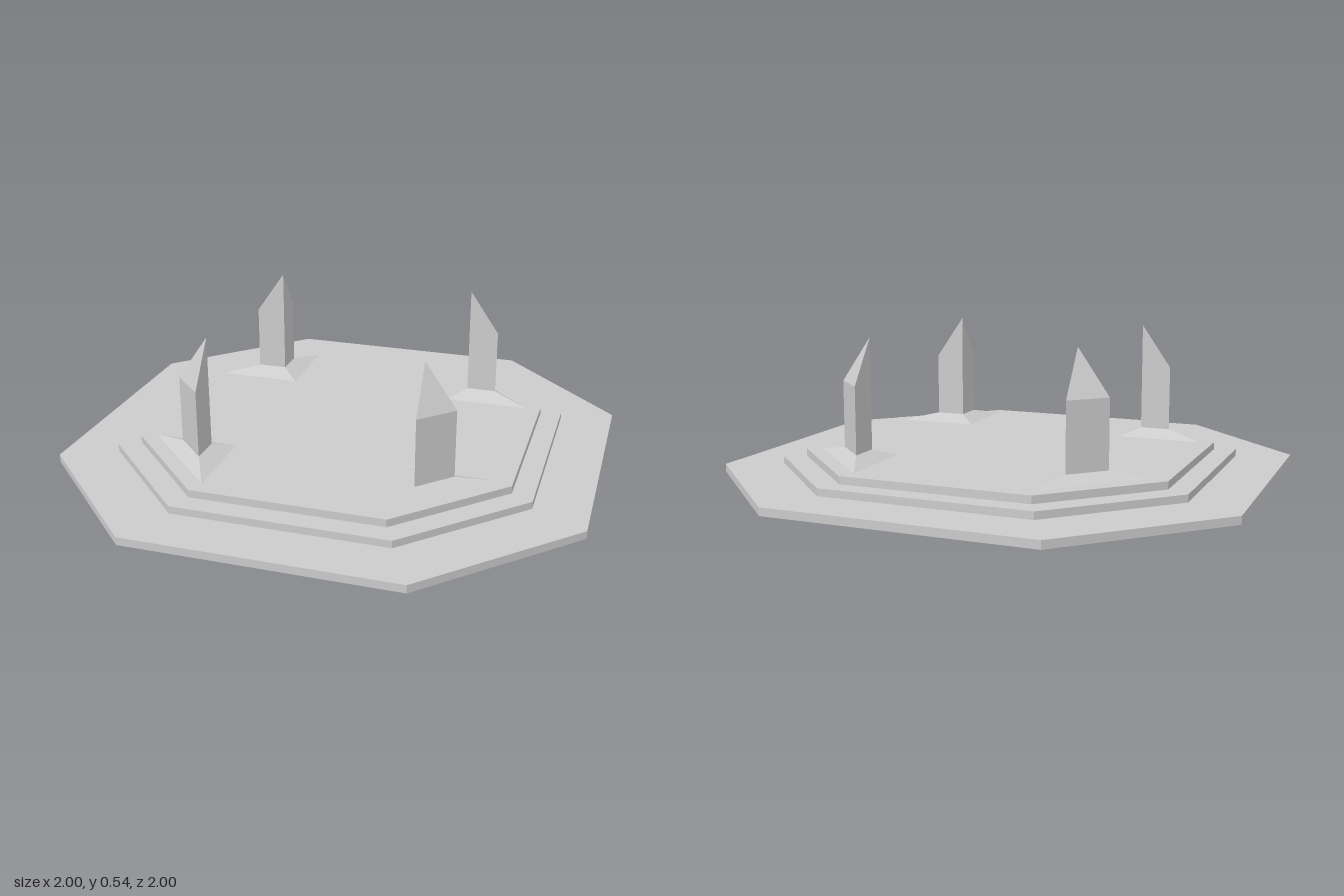
import * as THREE from 'three';

const material = new THREE.MeshStandardMaterial({ color: 0xcccccc, flatShading: true });

// Octagonal slab with cut corners, lying flat between two heights
function slab(name, r, y0, y1) {
  const h = r / 2;
  const corners = [[r, -h], [r, h], [h, r], [-h, r], [-r, h], [-r, -h], [-h, -r], [h, -r]];
  const shape = new THREE.Shape(corners.map(([x, y]) => new THREE.Vector2(x, y)));
  const geo = new THREE.ExtrudeGeometry(shape, { depth: y1 - y0, bevelEnabled: false });
  geo.rotateX(-Math.PI / 2).translate(0, y0, 0);
  const mesh = new THREE.Mesh(geo, material);
  mesh.name = name;
  return mesh;
}

// Right-angled triangular section: square corner at (a, a), legs reaching to b
const section = (y, a, b) => [[a, y, a], [b, y, a], [a, y, b]];

// Side faces joining a stack of triangular sections, optionally ending in a point
function loft(name, sections, apex) {
  const pos = [];
  const tri = (...points) => points.forEach((p) => pos.push(...p));
  for (let s = 0; s < sections.length; s++) {
    const low = sections[s], high = sections[s + 1];
    for (let i = 0; i < 3; i++) {
      const j = (i + 1) % 3;
      if (high) {
        tri(low[i], high[i], low[j]);
        tri(low[j], high[i], high[j]);
      } else if (apex) tri(low[i], apex, low[j]);
    }
  }
  const geo = new THREE.BufferGeometry();
  geo.setAttribute('position', new THREE.Float32BufferAttribute(pos, 3));
  geo.computeVertexNormals();
  const mesh = new THREE.Mesh(geo, material);
  mesh.name = name;
  return mesh;
}

export function createModel() {
  const model = new THREE.Group();
  model.name = 'steppedPlatform';

  // Three stacked steps
  model.add(
    slab('lowerStep', 1, 0, 0.03),
    slab('middleStep', 0.8, 0.03, 0.058),
    slab('upperStep', 0.72, 0.058, 0.087),
  );

  // Four corner pillars: a flared foot and a shaft with a slanted point
  const a = 0.405, b = 0.522;
  for (let k = 0; k < 4; k++) {
    const pillar = new THREE.Group();
    pillar.name = 'cornerPillar';
    pillar.add(
      loft('pillarFoot', [section(0.087, 0.335, 0.662), section(0.117, a, b)]),
      loft('pillarShaft', [section(0.117, a, b), section(0.371, a, b)], [a, 0.54, a]),
    );
    pillar.rotation.y = (k * Math.PI) / 2;
    model.add(pillar);
  }
  return model;
}
